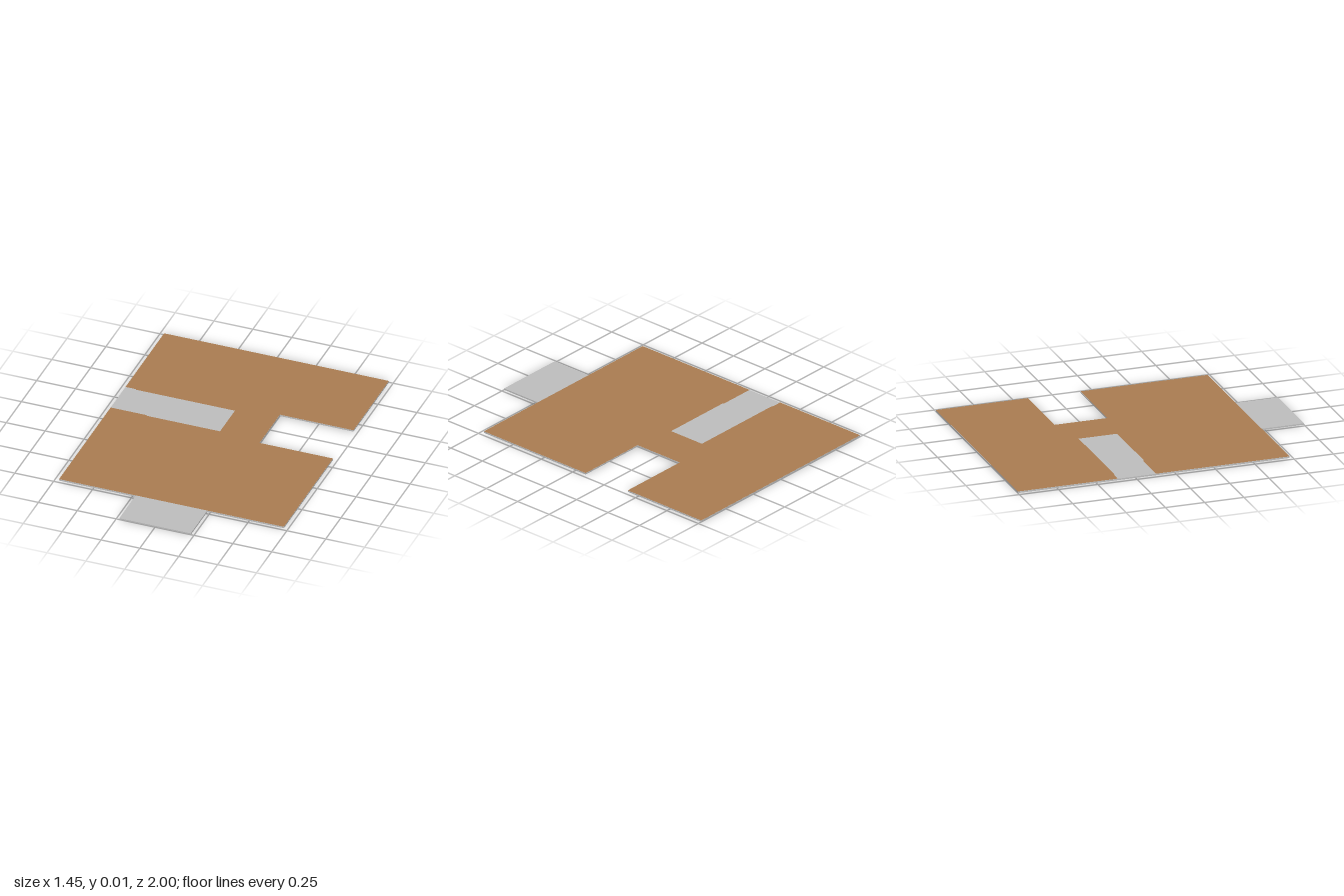
import * as THREE from 'three';

const THICKNESS = 0.009;

// Shape from plan points [x, z]; laid flat later, so z is negated here
const planShape = (points) => new THREE.Shape(points.map(([x, z]) => new THREE.Vector2(x, -z)));

export function createModel() {
  const group = new THREE.Group();
  const grey = new THREE.MeshStandardMaterial({ color: 0xc0c0c0 });
  grey.name = 'concrete grey';
  const brown = new THREE.MeshStandardMaterial({ color: 0xac7e52 });
  brown.name = 'floor brown';

  const add = (name, geometry, material, y) => {
    const mesh = new THREE.Mesh(geometry.rotateX(-Math.PI / 2), material);
    mesh.name = name;
    mesh.position.y = y;
    group.add(mesh);
  };

  // Right-hand edge with its square notch, shared by slab and floor
  const W = 0.723;
  const notchedEdge = [
    [-W, -1], [W, -1], [W, -0.415], [0.25, -0.415],
    [0.25, -0.08], [W, -0.08], [W, 0.73],
  ];

  // Grey slab, including the front step
  const slab = planShape([
    ...notchedEdge,
    [0.23, 0.73], [0.23, 1], [-0.23, 1], [-0.23, 0.73], [-W, 0.73],
  ]);
  add('slab', new THREE.ExtrudeGeometry(slab, { depth: THICKNESS, bevelEnabled: false }), grey, 0);

  // Brown floor covering, cut away around the grey strip
  const floor = planShape([
    ...notchedEdge,
    [-W, 0.73], [-W, -0.12], [-0.49, -0.12], [-0.49, -0.113], [-0.017, -0.113],
    [-0.017, -0.358], [-0.655, -0.358], [-0.655, -0.364], [-W, -0.364],
  ]);
  add('floorCovering', new THREE.ShapeGeometry(floor), brown, THICKNESS + 0.001);

  return group;
}
